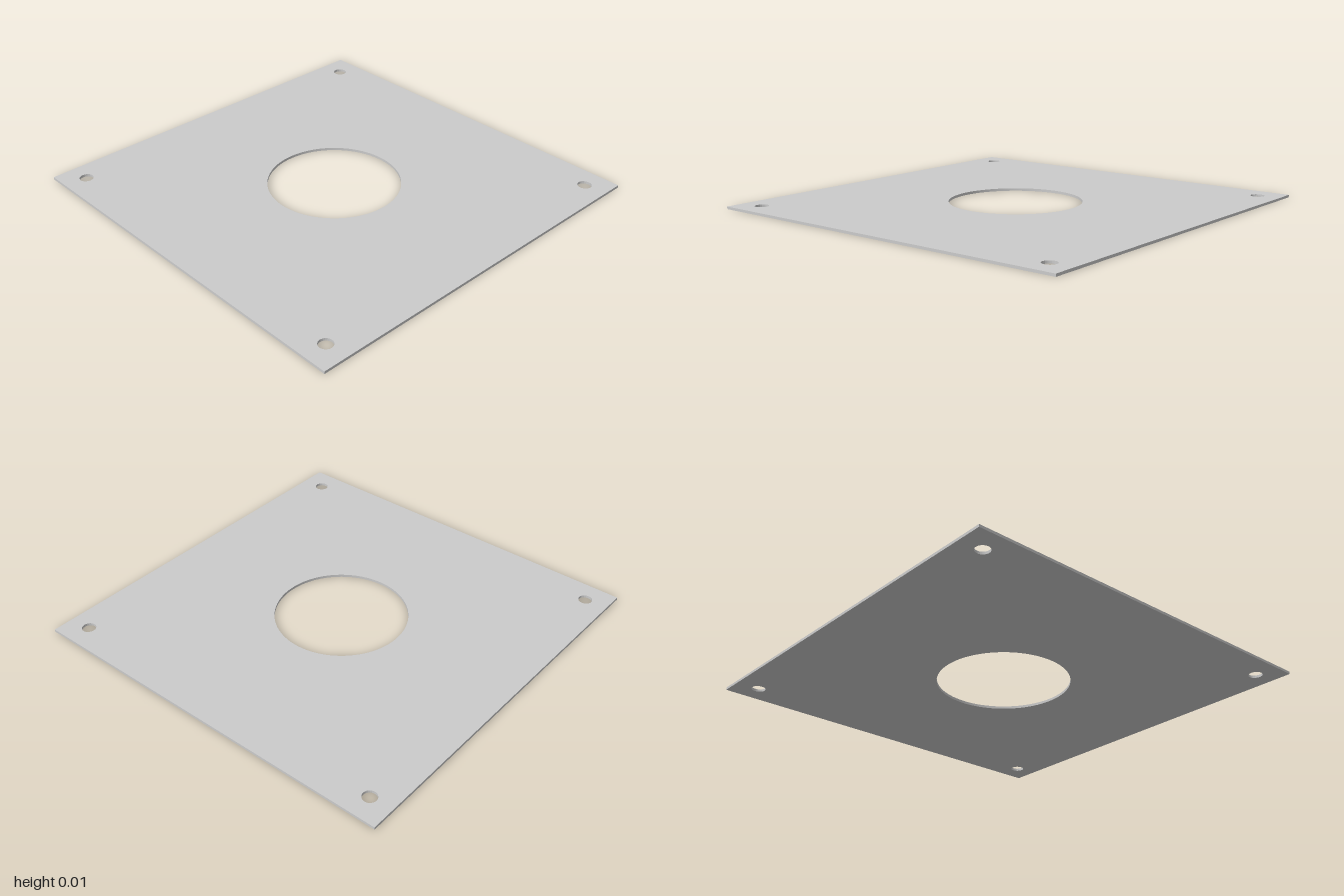
import * as THREE from 'three';
import { toCreasedNormals } from 'three/addons/utils/BufferGeometryUtils.js';

const THICKNESS = 0.013;
const BORE_RADIUS = 0.335;
const BOLT_RADIUS = 0.035;
const BOLT_OFFSET = 0.882;

function circle(x, y, radius) {
  return new THREE.Path().absarc(x, y, radius, 0, Math.PI * 2, true);
}

export function createModel() {
  const group = new THREE.Group();
  group.name = 'mountingPlate';

  // Square outline
  const outline = new THREE.Shape([
    new THREE.Vector2(-1, -1),
    new THREE.Vector2(1, -1),
    new THREE.Vector2(1, 1),
    new THREE.Vector2(-1, 1),
  ]);

  // Central bore and four corner bolt holes
  outline.holes.push(circle(0, 0, BORE_RADIUS));
  for (const sx of [-1, 1]) {
    for (const sy of [-1, 1]) {
      outline.holes.push(circle(sx * BOLT_OFFSET, sy * BOLT_OFFSET, BOLT_RADIUS));
    }
  }

  // Thin sheet laid flat on the ground, with smooth hole walls and sharp rims
  const extruded = new THREE.ExtrudeGeometry(outline, {
    depth: THICKNESS,
    bevelEnabled: false,
    curveSegments: 64,
  });
  extruded.rotateX(-Math.PI / 2);

  const plate = new THREE.Mesh(
    toCreasedNormals(extruded, Math.PI / 6),
    new THREE.MeshStandardMaterial({ color: 0xcccccc })
  );
  plate.name = 'plate';
  group.add(plate);

  return group;
}
